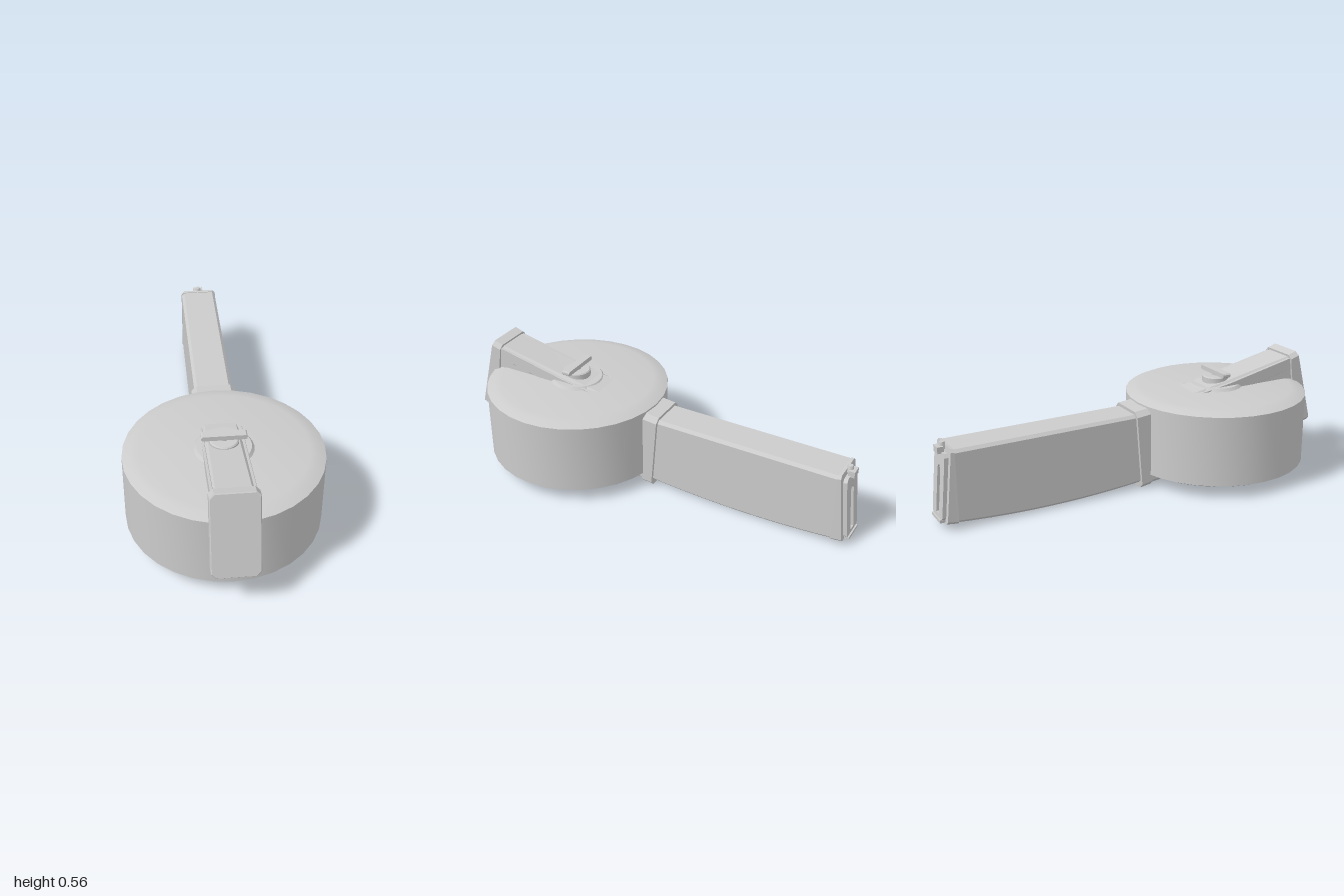
import * as THREE from 'three';
import { toCreasedNormals } from 'three/addons/utils/BufferGeometryUtils.js';

const mat = new THREE.MeshStandardMaterial({ color: 0xcccccc });

function add(group, name, geometry, x = 0, y = 0, z = 0) {
  const mesh = new THREE.Mesh(geometry, mat);
  mesh.name = name;
  mesh.position.set(x, y, z);
  group.add(mesh);
  return mesh;
}

// Loft of chamfered rectangles, ordered from back to front.
// Section: [bottom z, bottom y, top z, top y, half width, chamfer]
function loft(sections) {
  const rings = sections.map(([z0, y0, z1, y1, w, c]) => {
    const t = c / Math.hypot(z1 - z0, y1 - y0);
    const outline = [[w, t], [w, 1 - t], [w - c, 1], [c - w, 1], [-w, 1 - t], [-w, t], [c - w, 0], [w - c, 0]];
    return outline.map(([x, v]) => [x, y0 + (y1 - y0) * v, z0 + (z1 - z0) * v]);
  });
  const pos = [];
  const tri = (...p) => p.forEach((q) => pos.push(...q));
  for (let s = 0; s < rings.length - 1; s++) {
    for (let i = 0; i < 8; i++) {
      const j = (i + 1) % 8;
      const a = rings[s][i], b = rings[s][j], c = rings[s + 1][j], d = rings[s + 1][i];
      tri(a, b, c);
      tri(a, c, d);
    }
  }
  const first = rings[0], last = rings[rings.length - 1];
  for (let i = 1; i < 7; i++) {
    tri(first[0], first[i + 1], first[i]);
    tri(last[0], last[i], last[i + 1]);
  }
  const g = new THREE.BufferGeometry();
  g.setAttribute('position', new THREE.Float32BufferAttribute(pos, 3));
  return toCreasedNormals(g, 0.35);
}

function lathe(points, segments) {
  const g = new THREE.LatheGeometry(points.map(([r, y]) => new THREE.Vector2(r, y)), segments);
  return toCreasedNormals(g, 0.5);
}

export function createModel() {
  const model = new THREE.Group();
  model.name = 'drumMagazine';
  const drumZ = 0.47;

  // Round drum with softened rims
  add(model, 'drum', lathe([
    [0, 0.045], [0.375, 0.045], [0.41, 0.053], [0.445, 0.07],
    [0.445, 0.41], [0.41, 0.425], [0.375, 0.432], [0, 0.432],
  ], 32), 0, 0, drumZ);

  // Hub discs above and below
  add(model, 'topHub', lathe([[0.135, 0.43], [0.122, 0.446], [0, 0.446]], 24), 0, 0, drumZ);
  add(model, 'bottomHub', lathe([[0, 0.032], [0.122, 0.032], [0.135, 0.046]], 24), 0, 0, drumZ);

  // Winding key
  add(model, 'keyBase', lathe([[0.065, 0.44], [0.065, 0.478], [0.06, 0.483], [0, 0.483]], 20), 0, 0, drumZ);
  add(model, 'keyStem', new THREE.CylinderGeometry(0.018, 0.018, 0.04, 12), 0, 0.485, drumZ);
  add(model, 'keyBar', loft([
    [-0.02, -0.011, -0.02, 0.011, 0.1, 0.006],
    [0.02, -0.011, 0.02, 0.011, 0.1, 0.006],
  ]), 0, 0.5, drumZ);

  // Arm passing through the drum and rising out of its top
  add(model, 'feedArm', loft([
    [0.0, 0.008, 0.0, 0.39, 0.09, 0.02],
    [0.35, 0.046, 0.31, 0.433, 0.09, 0.02],
    [0.58, 0.1, 0.5, 0.467, 0.09, 0.02],
    [0.9, 0.18, 0.88, 0.545, 0.094, 0.02],
  ]));
  // Side ribs along the arm's upper edges
  for (const side of [-1, 1]) {
    add(model, 'armRib', loft([
      [0.3, 0.38, 0.3, 0.428, 0.006, 0.002],
      [0.5, 0.4, 0.5, 0.46, 0.006, 0.002],
      [0.88, 0.48, 0.88, 0.54, 0.006, 0.002],
    ]), side * 0.089);
  }

  // Sloped cap at the front of the arm
  add(model, 'frontCap', loft([
    [0.908, 0.165, 0.855, 0.55, 0.105, 0.02],
    [0.996, 0.183, 0.9, 0.564, 0.105, 0.02],
    [1.0, 0.188, 0.904, 0.56, 0.101, 0.02],
  ]));

  // Collar joining drum and magazine body
  add(model, 'collar', loft([
    [-0.005, 0.004, -0.036, 0.395, 0.105, 0.024],
    [0.05, 0.012, 0.045, 0.403, 0.105, 0.024],
  ]));

  // Long body with a gently bowed underside
  const body = [];
  for (let i = 0; i <= 12; i++) {
    const t = i / 12;
    const z = -0.935 + t * 0.94;
    const bow = 1 - (2 * t - 1) ** 2;
    body.push([z, 0.034 - 0.023 * bow, z, 0.376 + 0.004 * t, 0.09, 0.014]);
  }
  add(model, 'magazineBody', loft(body));

  // Rear flange, tilted to match the base
  add(model, 'rearFlange', loft([
    [-0.977, 0.034, -0.94, 0.381, 0.09, 0.014],
    [-0.925, 0.028, -0.925, 0.379, 0.092, 0.014],
  ]));

  // Slotted end plate
  const plate = new THREE.Shape([
    [-0.05, 0], [0.05, 0], [0.065, 0.015], [0.065, 0.295],
    [0.05, 0.31], [-0.05, 0.31], [-0.065, 0.295], [-0.065, 0.015],
  ].map(([x, y]) => new THREE.Vector2(x, y)));
  plate.holes.push(new THREE.Path([
    [-0.018, 0.02], [-0.018, 0.23], [0, 0.25], [0.018, 0.23], [0.018, 0.02],
  ].map(([x, y]) => new THREE.Vector2(x, y))));
  const end = add(model, 'endPlate',
    new THREE.ExtrudeGeometry(plate, { depth: 0.024, bevelEnabled: false }), 0, 0.045, -0.993);
  end.rotation.x = 0.1;

  // Bottom lip and catch at the rear
  add(model, 'rearLip', new THREE.BoxGeometry(0.11, 0.014, 0.04), 0, 0.042, -0.98);
  add(model, 'catchBlock', new THREE.BoxGeometry(0.05, 0.03, 0.03), 0, 0.362, -0.965);
  add(model, 'catchPin', new THREE.CylinderGeometry(0.012, 0.02, 0.03, 10), 0, 0.378, -0.95);

  return model;
}
